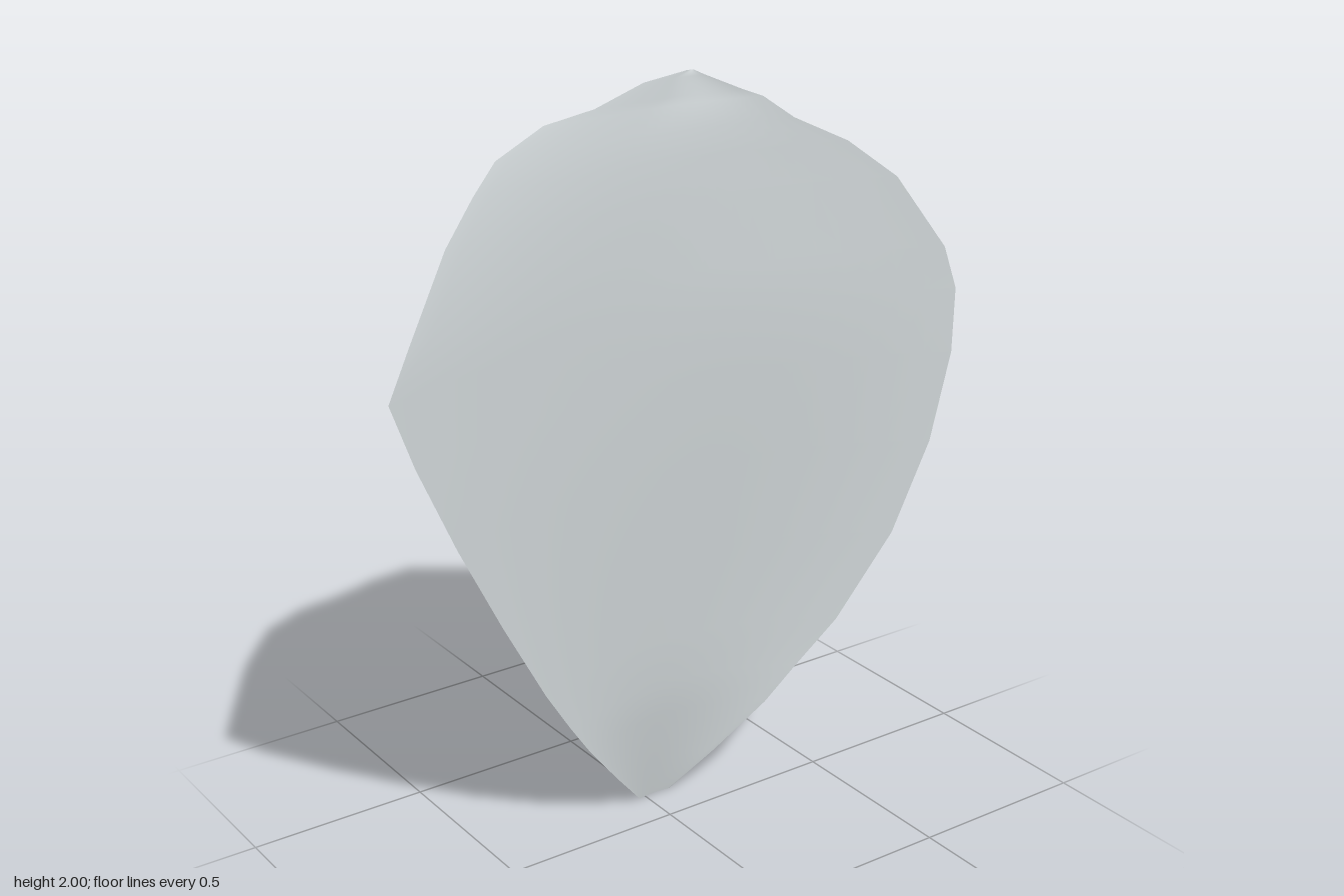
import * as THREE from 'three';

// Cross-sections: height, left-hand edge (x, z), right-hand edge (x, z), z of the midrib
const ROWS = [
  [0, -0.02, -0.117, 0.08, -0.117, -0.122],
  [0.12, -0.125, -0.07, 0.185, -0.05, -0.104],
  [0.26, -0.24, -0.025, 0.31, 0.015, -0.086],
  [0.36, -0.31, -0.01, 0.39, 0.045, -0.076],
  [0.49, -0.395, 0.01, 0.495, 0.088, -0.075],
  [0.73, -0.53, 0.035, 0.64, 0.138, -0.074],
  [0.98, -0.66, 0.055, 0.745, 0.157, -0.074],
  [1.22, -0.77, 0.068, 0.81, 0.155, -0.077],
  [1.39, -0.83, 0.065, 0.83, 0.138, -0.084],
  [1.5, -0.75, 0.025, 0.81, 0.11, -0.09],
  [1.69, -0.6, -0.055, 0.7, 0.035, -0.107],
  [1.79, -0.5, -0.093, 0.58, -0.025, -0.119],
  [1.86, -0.42, -0.12, 0.44, -0.073, -0.13],
  [1.92, -0.27, -0.143, 0.36, -0.1, -0.144],
  [1.94, -0.12, -0.148, 0.31, -0.115, -0.147],
  [1.985, 0.03, -0.155, 0.21, -0.143, -0.154],
  [2, 0.16, -0.156, 0.18, -0.153, -0.156],
];
const ACROSS = 24;

// Cupped sheet: each row curves forward from the midrib to its two edges
function petalGeometry() {
  const positions = [], indices = [];
  ROWS.forEach(([y, xl, zl, xr, zr, zm], r) => {
    for (let i = 0; i <= ACROSS; i++) {
      const u = i / ACROSS, t = 2 * u - 1;
      const edge = t < 0 ? zl : zr;
      positions.push(xl + (xr - xl) * u, y, zm + (edge - zm) * Math.abs(t) ** 2);
      if (r && i) {
        const d = r * (ACROSS + 1) + i, c = d - 1;
        const b = d - ACROSS - 1, a = b - 1;
        indices.push(a, b, d, a, d, c);
      }
    }
  });
  const geometry = new THREE.BufferGeometry();
  geometry.setAttribute('position', new THREE.Float32BufferAttribute(positions, 3));
  geometry.setIndex(indices);
  geometry.computeVertexNormals();
  return geometry;
}

export function createModel() {
  const paleGrey = new THREE.MeshStandardMaterial({ color: 0xc8ced0, side: THREE.DoubleSide });
  paleGrey.name = 'pale grey';

  const petal = new THREE.Mesh(petalGeometry(), paleGrey);
  petal.name = 'petal';

  const model = new THREE.Group();
  model.name = 'cuppedPetal';
  model.add(petal);
  return model;
}
